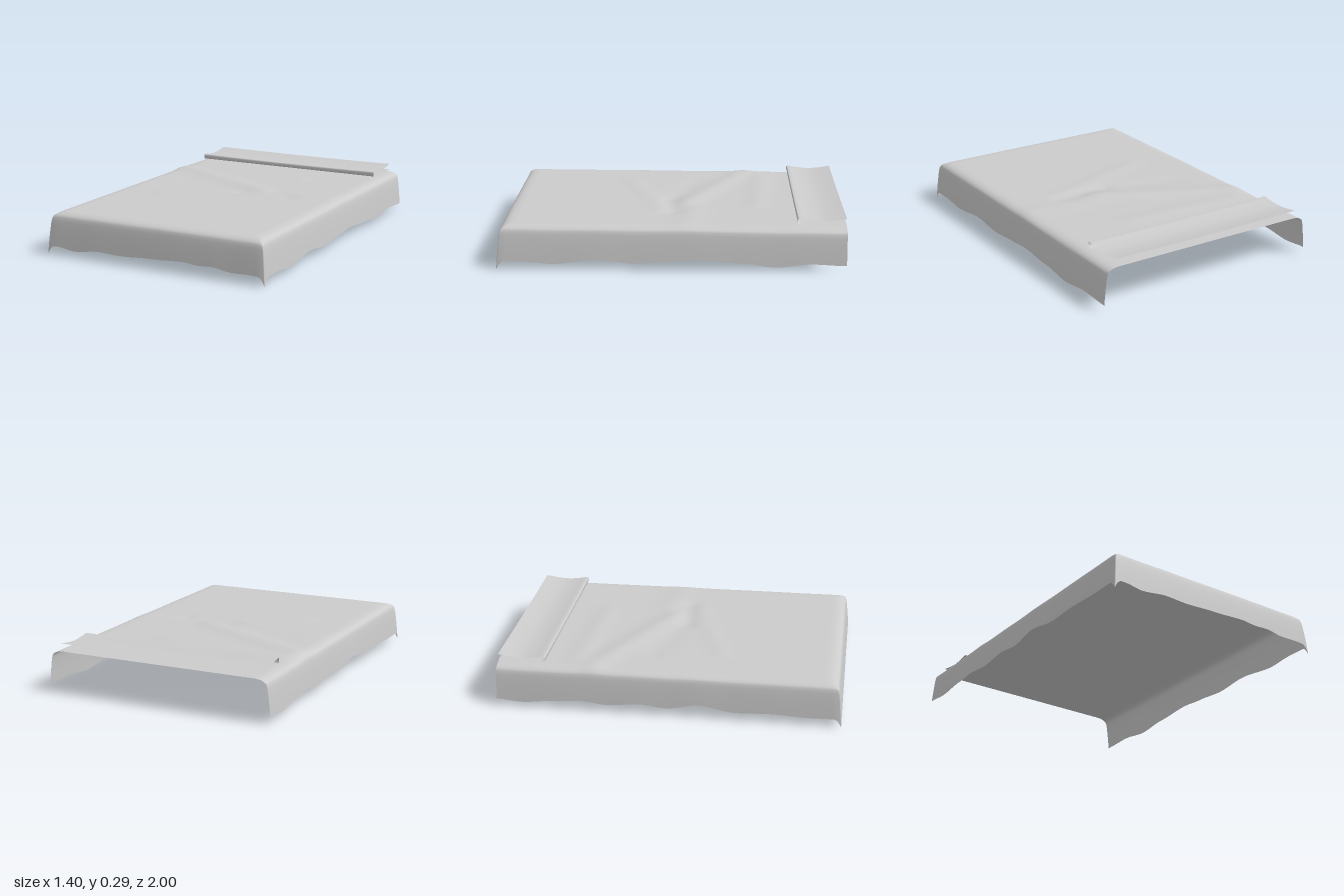
import * as THREE from 'three';

const HALF_X = 0.7, HALF_Z = 1;

// Edge profile: inset from the outer border, and height fraction from hem to top
const EDGE = [[0, 0], [0.003, 0.16], [0.007, 0.36], [0.012, 0.57], [0.017, 0.75], [0.022, 0.85],
  [0.028, 0.9], [0.038, 0.935], [0.05, 0.965], [0.065, 0.985], [0.09, 1]];

// Hem heights as [position, height]
const HEM_FRONT = [[-0.7, 0.05], [-0.63, 0.05], [-0.52, 0.036], [-0.35, 0.055], [-0.22, 0.05], [0, 0.06],
  [0.2, 0.07], [0.29, 0.062], [0.38, 0.066], [0.5, 0.05], [0.6, 0.053], [0.7, 0.05]];
const HEM_RIGHT = [[-1, 0.038], [-0.85, 0.027], [-0.65, 0.046], [-0.5, 0.056], [-0.35, 0.042], [-0.15, 0.06],
  [0, 0.045], [0.18, 0.076], [0.4, 0.045], [0.6, 0.052], [0.8, 0.043], [1, 0.045]];
const HEM_LEFT = [[-1, 0.032], [-0.8, 0.04], [-0.6, 0.02], [-0.4, 0.042], [-0.15, 0.06], [0, 0.05],
  [0.2, 0.036], [0.42, 0.056], [0.68, 0.03], [0.85, 0.044], [1, 0.045]];

// Soft wrinkles on the top: start x,z, end x,z, width, height
const WRINKLES = [[-0.6, -0.44, 0.15, -0.08, 0.07, 0.012], [-0.35, 0.28, 0.3, 0.06, 0.06, 0.005],
  [0.05, 0.02, 0.35, 0.0, 0.05, -0.009], [-0.55, -0.55, 0.2, -0.5, 0.06, 0.006],
  [-0.4, -0.13, 0.0, -0.02, 0.06, -0.004], [0.3, -0.13, 0.6, -0.08, 0.08, 0.005]];

// Smooth lookup in a table of [position, value]
function sample(table, p) {
  let i = 0;
  while (i < table.length - 2 && p > table[i + 1][0]) i++;
  const [a, va] = table[i], [b, vb] = table[i + 1];
  return va + (vb - va) * THREE.MathUtils.smoothstep(p, a, b);
}

function topHeight(x, z) {
  let y = 0.245 + 0.005 * z;
  for (const [x0, z0, x1, z1, w, h] of WRINKLES) {
    const dx = x1 - x0, dz = z1 - z0;
    const t = THREE.MathUtils.clamp(((x - x0) * dx + (z - z0) * dz) / (dx * dx + dz * dz), 0, 1);
    const d = Math.hypot(x - x0 - t * dx, z - z0 - t * dz);
    y += h * Math.exp(-((d / w) ** 2));
  }
  return y;
}

function clothHeight(x, z, k, dx, dz) {
  let hem = dx < dz ? sample(x < 0 ? HEM_RIGHT : HEM_LEFT, z) : sample(HEM_FRONT, x);
  // the front corners hang down to a point
  hem -= 0.05 * Math.max(0, 1 - Math.abs(dx - dz) / 0.045) ** 2;
  return THREE.MathUtils.lerp(hem, topHeight(x, z), EDGE[k][1]);
}

// Surface from rows of points; flip(i, j) picks the quad diagonal
function gridGeometry(rows, cols, point, flip = () => false) {
  const pos = [], index = [];
  for (let j = 0; j < rows; j++) for (let i = 0; i < cols; i++) pos.push(...point(i, j));
  for (let j = 0; j < rows - 1; j++) {
    for (let i = 0; i < cols - 1; i++) {
      const a = j * cols + i, b = a + 1, c = a + cols, d = c + 1;
      if (flip(i, j)) index.push(a, c, d, a, d, b);
      else index.push(a, c, b, b, c, d);
    }
  }
  const g = new THREE.BufferGeometry();
  g.setAttribute('position', new THREE.Float32BufferAttribute(pos, 3));
  g.setIndex(index);
  g.computeVertexNormals();
  return g;
}

export function createModel() {
  const group = new THREE.Group();
  group.name = 'bedCover';
  const material = new THREE.MeshStandardMaterial({ color: 0xcccccc, side: THREE.DoubleSide });

  // Grid lines: dense at the draped borders, even across the top
  const K = EDGE.length - 1, NX = 44, NZ = 72;
  const inner = EDGE[K][0];
  const xs = [], zs = [];
  for (let k = 0; k < K; k++) xs.push(-HALF_X + EDGE[k][0]);
  for (let i = 0; i <= NX; i++) xs.push(THREE.MathUtils.lerp(-HALF_X + inner, HALF_X - inner, i / NX));
  for (let k = K - 1; k >= 0; k--) xs.push(HALF_X - EDGE[k][0]);
  for (let j = 0; j <= NZ; j++) zs.push(THREE.MathUtils.lerp(-HALF_Z, HALF_Z - inner, j / NZ));
  for (let k = K - 1; k >= 0; k--) zs.push(HALF_Z - EDGE[k][0]);

  // Draped cloth, open at the back
  const cloth = new THREE.Mesh(gridGeometry(zs.length, xs.length, (i, j) => {
    const x = xs[i], z = zs[j];
    const k = Math.min(i, xs.length - 1 - i, zs.length - 1 - j, K);
    return [x, clothHeight(x, z, k, HALF_X - Math.abs(x), HALF_Z - z), z];
  }, (i) => i > xs.length / 2), material);
  cloth.name = 'drapedCover';
  group.add(cloth);

  // Turned-back strip: sagging upper layer, rounded front fold, lower layer
  const fold = new THREE.CatmullRomCurve3([[0.284, -1], [0.273, -0.93], [0.268, -0.86], [0.274, -0.79],
    [0.283, -0.735], [0.281, -0.723], [0.27, -0.72], [0.258, -0.723], [0.253, -0.735], [0.25, -0.8],
    [0.249, -0.88], [0.25, -1]].map(([y, z]) => new THREE.Vector3(0, y, z))).getPoints(48);
  const strip = new THREE.Mesh(gridGeometry(fold.length, 25, (i, j) => {
    const x = THREE.MathUtils.lerp(-0.62, 0.62, i / 24), { y, z } = fold[j];
    const lift = y > 0.26 ? 0.004 * (x / 0.62) ** 2 - 0.001 : 0;
    return [x, y + lift, z];
  }), material);
  strip.name = 'foldedStrip';
  group.add(strip);

  return group;
}
